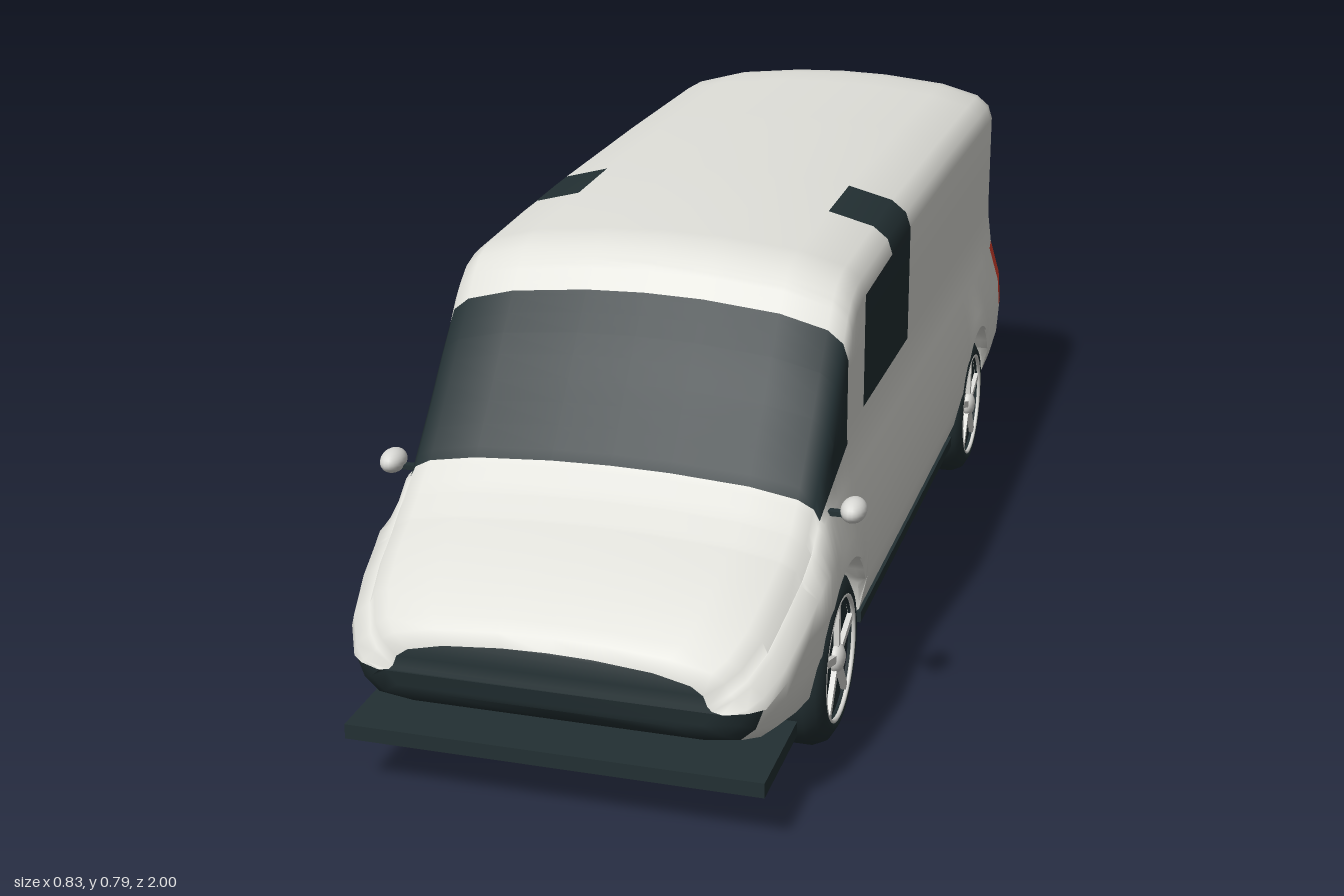
import * as THREE from 'three';
import { toCreasedNormals } from 'three/addons/utils/BufferGeometryUtils.js';

const mat = (name, color) => {
  const m = new THREE.MeshStandardMaterial({ color });
  m.name = name;
  return m;
};
const WHEELS_Z = [0.625, -0.612], WHEEL_R = 0.145, ARCH_R = 0.168;

// Stations along the van: z, roof height, floor height, width scale
const STATIONS = [
  [1, 0.285, 0.19, 0.73], [0.985, 0.303, 0.168, 0.82], [0.965, 0.317, 0.155, 0.875],
  [0.92, 0.345, 0.14, 0.935], [0.85, 0.38, 0.13, 0.97], [0.785, 0.405, 0.125, 0.99],
  [0.74, 0.43, 0.125, 1], [0.69, 0.468, 0.125, 1], [0.65, 0.515, 0.125, 1], [0.6, 0.575, 0.125, 1],
  [0.55, 0.64, 0.125, 1], [0.5, 0.7, 0.125, 1], [0.47, 0.737, 0.125, 1], [0.44, 0.759, 0.125, 1],
  [0.4, 0.77, 0.125, 1], [0.375, 0.772, 0.125, 1], [0.16, 0.781, 0.125, 1], [0, 0.786, 0.125, 1],
  [-0.4, 0.788, 0.128, 1], [-0.8, 0.785, 0.135, 1], [-0.89, 0.781, 0.137, 0.995],
  [-0.95, 0.774, 0.14, 0.975], [-0.985, 0.763, 0.145, 0.94], [-1, 0.745, 0.155, 0.895],
];

// Rows of the half section from floor to roof: half width, height, drop below the roof line
const ROWS = [
  [0.345, 0.49, 0.085], [0.345, 0.6, 0.085], [0.345, 0.705, 0.085], [0.336, 0.732, 0.058],
  [0.31, 0.753, 0.037], [0.23, 0.774, 0.016], [0.1, 0.787, 0.003], [0, 0.79, 0],
];
const BELT = 8, WINDOW_LOW = 9, WINDOW_HIGH = 11, ROOF_EDGE = 14;

function station(z) {
  let i = 0;
  while (i < STATIONS.length - 2 && z < STATIONS[i + 1][0]) i++;
  const a = STATIONS[i], b = STATIONS[i + 1], t = (z - a[0]) / (b[0] - a[0]);
  return [1, 2, 3].map((k) => a[k] + (b[k] - a[k]) * t);
}

function halfSection(z) {
  const [top, floor, scale] = station(z);
  const belt = THREE.MathUtils.clamp(0.412 + (0.69 - z) * 0.305, 0.412, 0.47);
  const k = 0.65 + 0.35 * THREE.MathUtils.clamp((top - 0.47) / 0.23, 0, 1);
  let arch = 0;
  for (const c of WHEELS_Z) {
    const d = Math.abs(z - c);
    if (d < ARCH_R) arch = WHEEL_R + Math.sqrt(ARCH_R ** 2 - d * d);
  }
  const rows = [
    [0, floor, 0], [0.27, floor, 0], [0.335, floor + 0.008, 0], [0.362, floor + 0.03, 0],
    [0.376, 0.22, 0], [0.38, 0.28, 0.15], [0.375, 0.34, 0.12], [0.354, 0.41, 0.095],
    [0.346, belt, 0.085], ...ROWS,
  ];
  let last = 0;
  return rows.map(([x, y, drop]) => {
    last = Math.max(last, arch, Math.min(y, top - k * drop));
    return [x * scale, last];
  });
}

// Colour index of a body face: 0 paint, 1 dark, 2 red
function faceColour(z, row) {
  const inArch = WHEELS_Z.some((c) => Math.abs(z - c) < ARCH_R);
  if (row < 2) return inArch ? 0 : 1;
  if (z > 0.965 && row < 4) return 1;
  if (row === 2 && ((z > 0.79 && z < 0.87) || (z < -0.78 && z > -0.89))) return 1;
  if (z > 0.5 && z < 0.69 && row >= BELT) return 1;
  if (z > 0 && z < 0.375 && row >= WINDOW_LOW && row < WINDOW_HIGH) return 1;
  if (z > 0 && z < 0.16 && row >= WINDOW_HIGH && row < ROOF_EDGE) return 1;
  if (z < -0.89 && row >= 5 && row < 7) return 2;
  return 0;
}

// Lofted shell with wheel arches cut through it
function bodyGeometry() {
  let zs = STATIONS.map((s) => s[0]);
  for (const c of WHEELS_Z) {
    for (let i = 0; i <= 20; i++) zs.push(c + ARCH_R * 0.9995 * Math.cos((i / 20) * Math.PI));
    zs.push(c + ARCH_R + 0.0005, c - ARCH_R - 0.0005);
  }
  zs.sort((a, b) => b - a);
  const pos = [], lists = [[], [], []];
  let n = 0;
  for (const z of zs) {
    const half = halfSection(z);
    n = half.length;
    for (const [x, y] of half) pos.push(x, y, z);
    for (const [x, y] of half.reverse()) pos.push(-x, y, z);
  }
  const ring = 2 * n;
  for (let i = 0; i < zs.length - 1; i++) {
    for (let j = 0; j < ring - 1; j++) {
      if (j === n - 1) continue;
      const row = j < n ? j : ring - 2 - j;
      const a = i * ring + j, b = a + 1, d = a + ring, c = d + 1;
      lists[faceColour((zs[i] + zs[i + 1]) / 2, row)].push(a, d, c, a, c, b);
    }
  }
  // Front and rear closing faces
  const rear = (zs.length - 1) * ring;
  for (let j = 0; j < n - 1; j++) {
    const r = j, s = j + 1, l = ring - 1 - j, m = l - 1;
    lists[1].push(r, s, m, r, m, l);
    lists[0].push(rear + r, rear + m, rear + s, rear + r, rear + l, rear + m);
  }
  const geo = new THREE.BufferGeometry();
  geo.setAttribute('position', new THREE.Float32BufferAttribute(pos, 3));
  geo.setIndex(lists.flat());
  let start = 0;
  lists.forEach((list, i) => {
    geo.addGroup(start, list.length, i);
    start += list.length;
  });
  return toCreasedNormals(geo, 1);
}

export function createModel() {
  const paint = mat('body paint', 0xe0e0da);
  const dark = mat('dark trim', 0x233033);
  const red = mat('tail light red', 0xe24230);
  const silver = mat('silver', 0xd9d9d5);
  const van = new THREE.Group();
  van.name = 'van';

  const add = (parent, name, geo, material, x = 0, y = 0, z = 0) => {
    const m = new THREE.Mesh(geo, material);
    m.name = name;
    m.position.set(x, y, z);
    parent.add(m);
    return m;
  };
  const box = (name, w, h, d, material, x, y, z) =>
    add(van, name, new THREE.BoxGeometry(w, h, d), material, x, y, z);

  add(van, 'body', bodyGeometry(), [paint, dark, red]);

  // Underside
  box('floorPan', 0.53, 0.02, 1.6, dark, 0, 0.125, 0);
  box('midFloor', 0.68, 0.025, 0.89, dark, 0, 0.123, 0.005);
  box('frontSplitter', 0.68, 0.025, 0.2, dark, 0, 0.103, 0.9);

  // Wheels
  const profile = [
    [0.095, -0.04], [0.115, -0.046], [0.135, -0.038], [0.145, -0.014], [0.145, 0.016],
    [0.136, 0.036], [0.117, 0.047], [0.104, 0.047], [0.1, 0.036],
  ].map(([r, y]) => new THREE.Vector2(r, y));
  const tyre = new THREE.LatheGeometry(profile, 40).rotateZ(-Math.PI / 2);
  const disc = new THREE.CylinderGeometry(0.102, 0.102, 0.07, 32).rotateZ(-Math.PI / 2);
  const rim = new THREE.TorusGeometry(0.104, 0.004, 8, 40).rotateY(Math.PI / 2);
  const spoke = new THREE.BoxGeometry(0.012, 0.085, 0.013).translate(0, 0.06, 0);
  const hub = new THREE.SphereGeometry(0.025, 16, 12).scale(0.6, 1, 1);
  for (const side of [1, -1]) {
    for (const z of WHEELS_Z) {
      const wheel = new THREE.Group();
      wheel.name = z > 0 ? 'frontWheel' : 'rearWheel';
      wheel.position.set(side * 0.323, WHEEL_R, z);
      if (side < 0) wheel.rotation.y = Math.PI;
      add(wheel, 'tyre', tyre, dark);
      add(wheel, 'wheelDisc', disc, dark);
      add(wheel, 'rim', rim, silver, 0.044);
      add(wheel, 'hub', hub, silver, 0.039);
      for (let i = 0; i < 5; i++) add(wheel, 'spoke', spoke, silver, 0.038).rotation.x = (i * Math.PI * 2) / 5;
      van.add(wheel);
    }
    // Sills, mirrors and exhausts
    box('sill', 0.03, 0.02, 0.86, dark, side * 0.345, 0.127, 0);
    box('mirrorArm', 0.07, 0.008, 0.014, dark, side * 0.355, 0.412, 0.65);
    add(van, 'mirror', new THREE.SphereGeometry(0.021, 18, 14).scale(1, 0.95, 1.5), silver, side * 0.392, 0.421, 0.652);
    add(van, 'exhaust', new THREE.CapsuleGeometry(0.014, 0.04, 6, 14).rotateX(Math.PI / 2), silver, side * 0.15, 0.134, -0.962);
  }
  return van;
}
